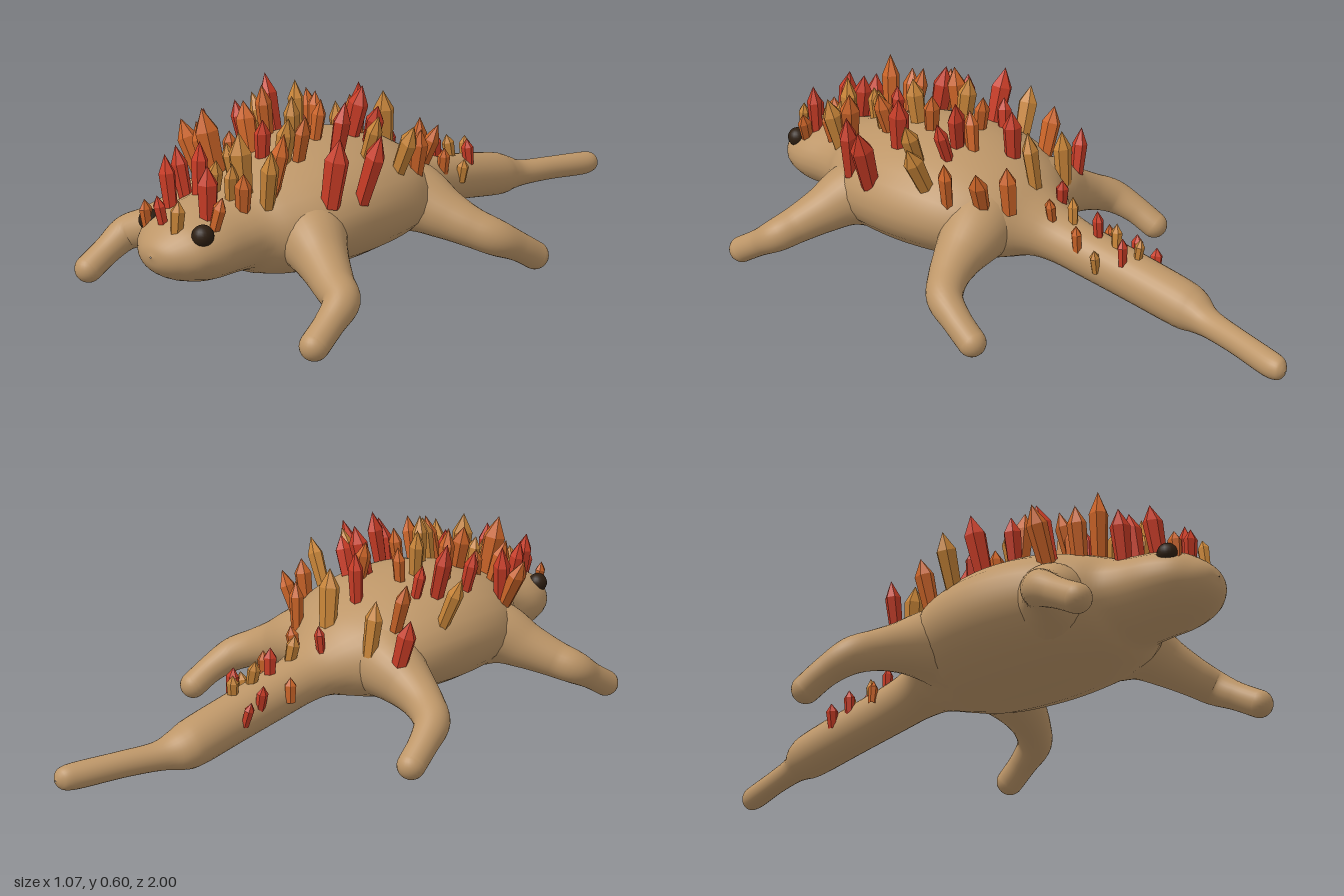
import * as THREE from 'three';
import { mergeGeometries } from 'three/addons/utils/BufferGeometryUtils.js';

const SIDES = 28;

// Skin a list of rings (each SIDES points) into one smooth surface
function skin(rings) {
  const index = [];
  for (let i = 0; i < rings.length - 1; i++) {
    for (let j = 0; j < SIDES; j++) {
      const k = (j + 1) % SIDES;
      const a = i * SIDES + j, b = i * SIDES + k, c = a + SIDES, d = b + SIDES;
      index.push(a, b, c, b, d, c);
    }
  }
  const geo = new THREE.BufferGeometry().setFromPoints(rings.flat());
  geo.setIndex(index);
  geo.computeVertexNormals();
  return geo;
}

function smoothCurve(points) {
  return new THREE.CatmullRomCurve3(points.map(p => new THREE.Vector3(...p)), false, 'catmullrom', 0.5);
}

// Torso sections from snout to tail tip: z, centre x, half width, bottom y, top y
const SECTIONS = [
  [1.0, 0, 0.002, 0.238, 0.242], [0.99, 0, 0.05, 0.205, 0.27], [0.965, 0, 0.092, 0.177, 0.297],
  [0.92, 0, 0.135, 0.153, 0.328], [0.85, 0, 0.16, 0.135, 0.35], [0.76, 0, 0.168, 0.13, 0.365],
  [0.7, 0, 0.185, 0.125, 0.38], [0.64, 0, 0.235, 0.1, 0.402], [0.55, 0, 0.285, 0.08, 0.43],
  [0.45, 0, 0.31, 0.072, 0.45], [0.33, 0, 0.32, 0.07, 0.455], [0.2, 0, 0.308, 0.075, 0.44],
  [0.1, 0, 0.275, 0.085, 0.41], [0.02, 0, 0.215, 0.105, 0.37], [-0.05, 0, 0.135, 0.12, 0.32],
  [-0.12, 0, 0.093, 0.112, 0.28], [-0.22, 0, 0.08, 0.092, 0.25], [-0.4, 0, 0.077, 0.06, 0.215],
  [-0.57, 0, 0.076, 0.03, 0.178], [-0.63, 0.003, 0.066, 0.032, 0.155], [-0.69, 0.025, 0.047, 0.04, 0.128],
  [-0.8, 0.06, 0.04, 0.04, 0.12], [-0.93, 0.1, 0.041, 0.033, 0.113], [-0.975, 0.11, 0.034, 0.037, 0.107],
  [-0.992, 0.114, 0.02, 0.05, 0.092], [-1.0, 0.116, 0.002, 0.068, 0.072],
];

function torsoSamples() {
  const centre = smoothCurve(SECTIONS.map(([z, x, , lo, hi]) => [x, (lo + hi) / 2, z]));
  const radii = smoothCurve(SECTIONS.map(([z, , w, lo, hi]) => [w, (hi - lo) / 2, z]));
  const out = [];
  for (let i = 0; i <= 125; i++) out.push({ c: centre.getPoint(i / 125), r: radii.getPoint(i / 125) });
  return out;
}

function torsoGeometry(samples) {
  return skin(samples.map(({ c, r }) => Array.from({ length: SIDES }, (_, j) => {
    const a = j / SIDES * Math.PI * 2;
    return new THREE.Vector3(c.x + r.x * Math.sin(a), c.y + r.y * Math.cos(a), c.z);
  })));
}

// Leg stations: x, y, z, radius
const FRONT_LEG = [
  [0.12, 0.24, 0.5, 0.14], [0.22, 0.225, 0.57, 0.105], [0.3, 0.19, 0.615, 0.077], [0.38, 0.155, 0.66, 0.061],
  [0.44, 0.13, 0.695, 0.054], [0.455, 0.09, 0.76, 0.044], [0.463, 0.047, 0.832, 0.043],
];
const REAR_LEG = [
  [0.1, 0.24, 0.12, 0.15], [0.2, 0.225, 0.08, 0.11], [0.3, 0.19, 0.06, 0.078], [0.38, 0.16, 0.035, 0.062],
  [0.445, 0.13, -0.005, 0.056], [0.475, 0.09, -0.075, 0.046], [0.49, 0.046, -0.143, 0.044],
];

function legGeometry(stations, side) {
  const path = smoothCurve(stations.map(([x, y, z]) => [x * side, y, z]));
  const size = smoothCurve(stations.map(s => [s[3], 0, 0]));
  const up = new THREE.Vector3(0, 1, 0), rings = [];
  for (let i = 0; i <= 36; i++) {
    const p = path.getPoint(i / 36), r = size.getPoint(i / 36).x, t = path.getTangent(i / 36);
    const u = t.clone().cross(up).normalize(), v = t.clone().cross(u);
    rings.push(Array.from({ length: SIDES }, (_, j) => {
      const a = j / SIDES * Math.PI * 2;
      return p.clone().addScaledVector(u, r * Math.cos(a)).addScaledVector(v, r * Math.sin(a));
    }));
  }
  return skin(rings);
}

// Crystal layout seen from above: x, z, length
const RED = [
  [-0.08, -0.42, 0.06], [0.04, -0.375, 0.07], [-0.07, -0.355, 0.06], [0, -0.255, 0.08], [-0.045, -0.085, 0.07],
  [-0.295, 0.03, 0.15], [-0.025, 0.095, 0.15], [0.085, 0.23, 0.16], [0.155, 0.23, 0.13], [-0.165, 0.235, 0.1],
  [-0.21, 0.29, 0.18], [0.17, 0.395, 0.17], [0.31, 0.42, 0.2], [-0.21, 0.425, 0.13], [0.265, 0.525, 0.19],
  [0, 0.545, 0.11], [-0.235, 0.555, 0.18], [-0.125, 0.755, 0.15], [-0.055, 0.75, 0.15], [-0.085, 0.845, 0.15],
  [0.075, 0.845, 0.15], [-0.03, 0.93, 0.08],
];
const ORANGE = [
  [-0.08, -0.245, 0.06], [0.065, -0.22, 0.07], [0.05, -0.11, 0.07], [0.135, -0.01, 0.14], [-0.22, 0.095, 0.15],
  [0.215, 0.04, 0.14], [0.255, 0.14, 0.13], [0.05, 0.2, 0.12], [-0.065, 0.25, 0.11], [0.05, 0.36, 0.12],
  [-0.13, 0.4, 0.16], [0.115, 0.5, 0.14], [-0.08, 0.525, 0.15], [-0.27, 0.57, 0.17], [-0.115, 0.565, 0.08],
  [-0.16, 0.625, 0.15], [-0.1, 0.66, 0.2], [0.14, 0.63, 0.17], [0.115, 0.745, 0.11], [0.12, 0.85, 0.09],
  [-0.1, 0.92, 0.07],
];
const AMBER = [
  [0, -0.41, 0.06], [0, -0.325, 0.07], [0.08, -0.3, 0.06], [0, -0.16, 0.08], [0, 0, 0.17], [-0.18, 0.01, 0.16],
  [0.28, 0.23, 0.16], [-0.295, 0.245, 0.16], [-0.075, 0.32, 0.15], [0.215, 0.305, 0.14], [0.025, 0.445, 0.15],
  [0.085, 0.54, 0.14], [-0.02, 0.66, 0.1], [0.155, 0.68, 0.17], [0.065, 0.7, 0.18], [0.06, 0.735, 0.1],
  [0, 0.745, 0.1], [0.04, 0.93, 0.08],
];

// Faceted prism of unit height with a pointed cap
function crystalGeometry() {
  const shaft = new THREE.CylinderGeometry(1, 0.8, 0.68, 6, 1, true).translate(0, 0.34, 0);
  const point = new THREE.ConeGeometry(1, 0.32, 6, 1, true).translate(0, 0.84, 0);
  const geo = mergeGeometries([shaft, point]).toNonIndexed();
  geo.computeVertexNormals();
  return geo;
}

export function createModel() {
  const model = new THREE.Group();
  model.name = 'crystalLizard';
  const paint = (name, color) => Object.assign(new THREE.MeshStandardMaterial({ color }), { name });
  const skinTan = paint('tan skin', 0xbd9668);
  const eyeDark = paint('dark eye', 0x2e1f12);
  const add = (name, geo, mat, parent = model) => {
    const mesh = new THREE.Mesh(geo, mat);
    mesh.name = name;
    parent.add(mesh);
    return mesh;
  };

  // Head, torso and tail in one skin
  const samples = torsoSamples();
  add('bodyAndTail', torsoGeometry(samples), skinTan);

  // Legs with rounded feet, and eyes
  for (const [side, label] of [[1, 'left'], [-1, 'right']]) {
    for (const [end, stations] of [['Front', FRONT_LEG], ['Rear', REAR_LEG]]) {
      add(label + end + 'Leg', legGeometry(stations, side), skinTan);
      const [x, y, z, r] = stations[stations.length - 1];
      add(label + end + 'Foot', new THREE.SphereGeometry(r, 24, 16), skinTan).position.set(side * x, y, z);
    }
    add(label + 'Eye', new THREE.SphereGeometry(0.032, 20, 14), eyeDark).position.set(side * 0.108, 0.302, 0.9);
  }

  // Height of the back at a point, for rooting the crystals
  const backHeight = (x, z) => {
    const { c, r } = samples.reduce((m, s) => Math.abs(s.c.z - z) < Math.abs(m.c.z - z) ? s : m);
    const f = Math.min(Math.abs(x - c.x) / r.x, 0.97);
    return c.y + r.y * Math.sqrt(1 - f * f);
  };

  // Crystals, leaning outwards with a little variation
  let seed = 7;
  const vary = () => (seed = (seed * 16807) % 2147483647) / 2147483647 * 2 - 1;
  const shape = crystalGeometry(), up = new THREE.Vector3(0, 1, 0);
  const sets = [
    ['redCrystals', RED, paint('red crystal', 0xc83c26)],
    ['orangeCrystals', ORANGE, paint('orange crystal', 0xcb6428)],
    ['amberCrystals', AMBER, paint('amber crystal', 0xc78438)],
  ];
  for (const [name, spots, mat] of sets) {
    const cluster = new THREE.Group();
    cluster.name = name;
    model.add(cluster);
    for (const [x, z, len] of spots) {
      const dir = new THREE.Vector3(x * 1.1 + vary() * 0.18, 1, vary() * 0.15).normalize();
      const bx = x - dir.x * len * 0.4, bz = z - dir.z * len * 0.4;
      const crystal = add('crystal', shape, mat, cluster);
      const r = 0.011 + len * 0.12;
      crystal.quaternion.setFromUnitVectors(up, dir).multiply(
        new THREE.Quaternion().setFromAxisAngle(up, vary() * 3));
      crystal.scale.set(r * 1.1, len + 0.02, r * 0.85);
      crystal.position.set(bx, backHeight(bx, bz), bz).addScaledVector(dir, -0.02);
    }
  }
  return model;
}
